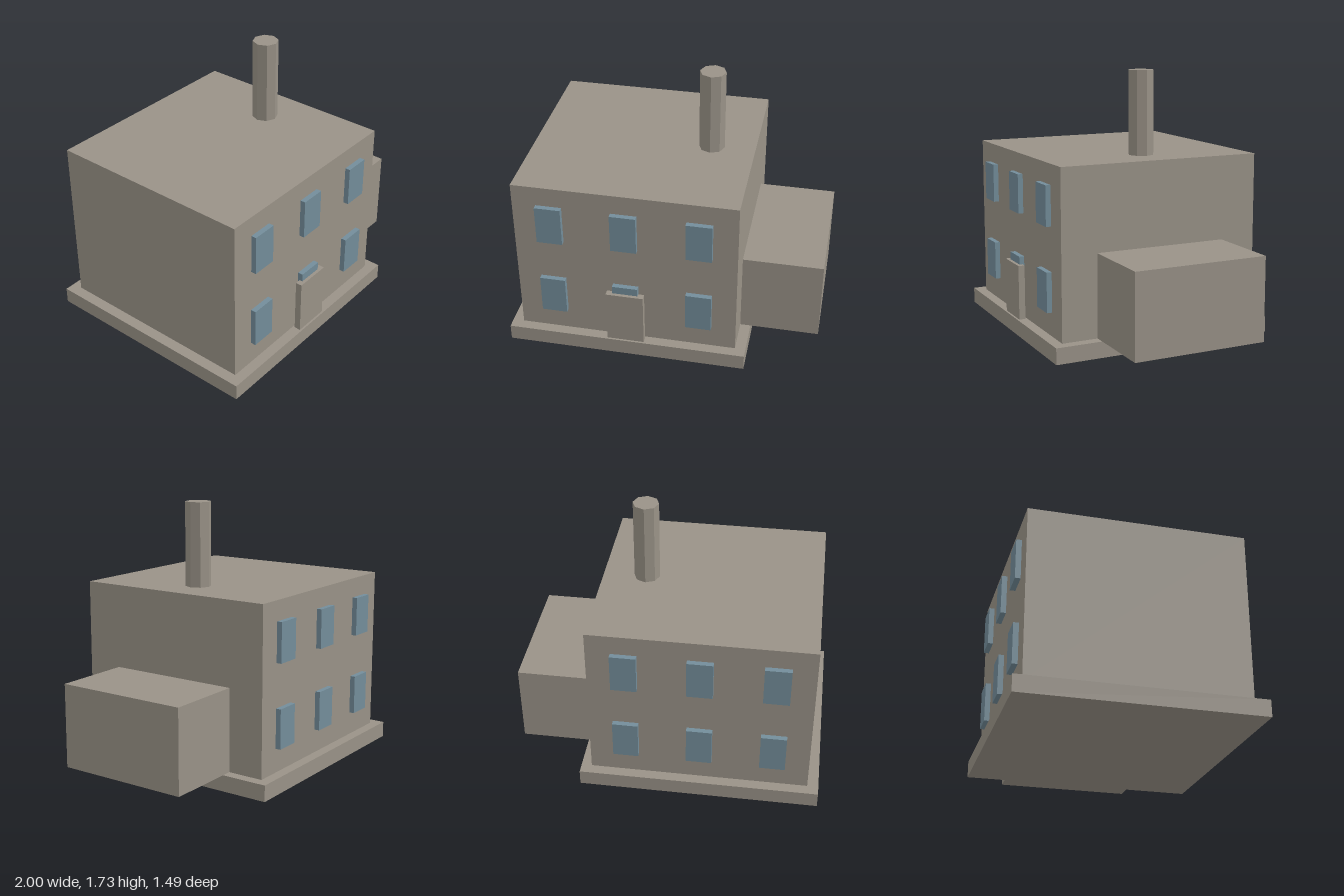
import * as THREE from 'three';

export function createModel() {
  const group = new THREE.Group();
  group.name = 'building';

  const wall = new THREE.MeshStandardMaterial({ color: 0x999287 });
  wall.name = 'warm grey wall';
  const glass = new THREE.MeshStandardMaterial({ color: 0x738d9a });
  glass.name = 'blue grey glass';

  // Box given by its extents on each axis
  function block(name, material, [x0, x1], [y0, y1], [z0, z1]) {
    const mesh = new THREE.Mesh(new THREE.BoxGeometry(x1 - x0, y1 - y0, z1 - z0), material);
    mesh.position.set((x0 + x1) / 2, (y0 + y1) / 2, (z0 + z1) / 2);
    mesh.name = name;
    group.add(mesh);
  }

  // Main masses
  block('foundation', wall, [-1, 0.555], [0, 0.105], [-0.745, 0.745]);
  block('mainHall', wall, [-0.928, 0.487], [0.105, 1.19], [-0.677, 0.677]);
  block('sideAnnex', wall, [0.487, 1], [0.105, 0.645], [-0.44, 0.44]);
  block('door', wall, [-0.343, -0.102], [0.105, 0.465], [0.69, 0.732]);

  // Octagonal chimney
  const chimney = new THREE.Mesh(
    new THREE.CylinderGeometry(0.083, 0.083, 0.54, 8).toNonIndexed(), wall);
  chimney.geometry.computeVertexNormals();
  chimney.position.set(0.205, 1.46, 0);
  chimney.name = 'chimney';
  group.add(chimney);

  // Two rows of three windows on the front and the back
  for (const side of [1, -1]) {
    const z = side > 0 ? [0.677, 0.711] : [-0.711, -0.677];
    for (const y of [0.26, 0.803]) {
      for (const x of [-0.694, -0.223, 0.249]) {
        block(side > 0 ? 'frontWindow' : 'backWindow', glass,
          [x - 0.082, x + 0.082], [y, y + 0.257], z);
      }
    }
  }
  return group;
}
